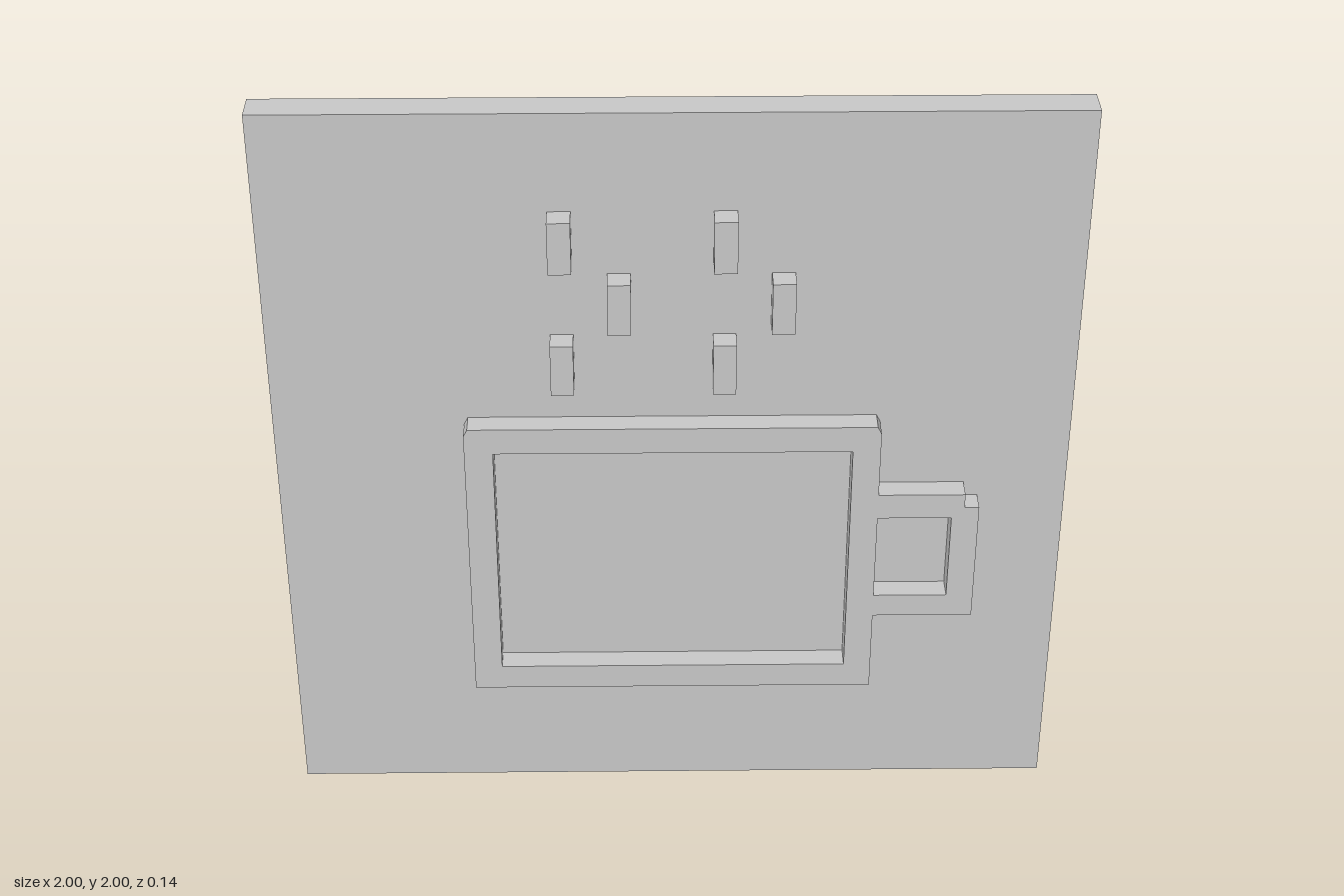
import * as THREE from 'three';

const BACK = -0.072, FACE = 0.013, FRONT = 0.072;

const polygon = (Type, points) => new Type(points.map(([x, y]) => new THREE.Vector2(x, y)));
const rectHole = (x0, y0, x1, y1) =>
  polygon(THREE.Path, [[x0, y0], [x0, y1], [x1, y1], [x1, y0]]);

export function createModel() {
  const group = new THREE.Group();
  const grey = new THREE.MeshStandardMaterial({ color: 0xc8c8c8 });
  grey.name = 'light grey';

  const add = (name, geometry, x, y, z) => {
    const mesh = new THREE.Mesh(geometry, grey);
    mesh.name = name;
    mesh.position.set(x, y, z);
    group.add(mesh);
  };

  // Square backing plate
  add('backPlate', new THREE.BoxGeometry(2, 2, FACE - BACK), 0, 1, (FACE + BACK) / 2);

  // Raised mug outline: body with clipped top corners, and a notched handle
  const mug = polygon(THREE.Shape, [
    [-0.522, 0.345], [0.52, 0.345], [0.52, 0.575], [0.777, 0.575],
    [0.777, 0.915], [0.74, 0.915], [0.74, 0.955], [0.52, 0.955],
    [0.52, 1.14], [0.51, 1.16], [-0.512, 1.16], [-0.522, 1.14],
  ]);
  mug.holes.push(
    rectHole(-0.45, 0.415, 0.45, 1.088),
    rectHole(0.52, 0.64, 0.708, 0.884),
  );
  const depth = FRONT - FACE;
  add('mugOutline', new THREE.ExtrudeGeometry(mug, { depth, bevelEnabled: false }), 0, 0, FACE);

  // Two zigzag columns of steam blocks
  for (const x of [-0.272, 0.127]) {
    [[0, 1.33], [0.142, 1.501], [0, 1.671]].forEach(([shift, y]) =>
      add('steamBlock', new THREE.BoxGeometry(0.057, 0.14, depth), x + shift, y, FACE + depth / 2));
  }

  return group;
}
